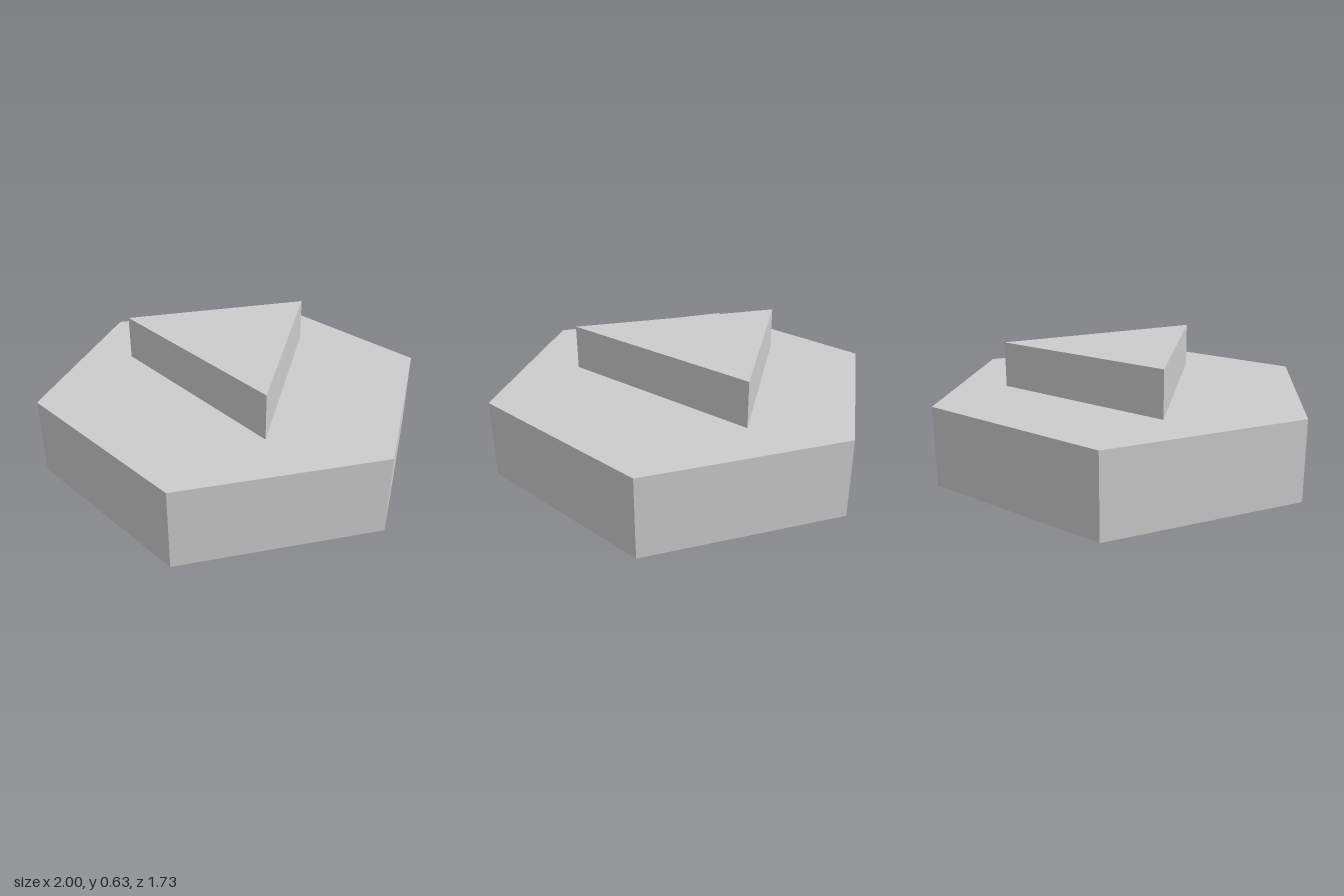
import * as THREE from 'three';

// Upright prism from a plan outline given as [x, z] corners
function prism(name, corners, bottom, height, material) {
  const shape = new THREE.Shape(corners.map(([x, z]) => new THREE.Vector2(x, -z)));
  const geometry = new THREE.ExtrudeGeometry(shape, { depth: height, bevelEnabled: false });
  geometry.rotateX(-Math.PI / 2);
  const mesh = new THREE.Mesh(geometry, material);
  mesh.name = name;
  mesh.position.y = bottom;
  return mesh;
}

export function createModel() {
  const group = new THREE.Group();
  group.name = 'hexagonTileWithArrow';
  const grey = new THREE.MeshStandardMaterial({ color: 0xcccccc });
  grey.name = 'light grey';
  grey.flatShading = true;

  // Hexagonal base with corners on the x axis
  const hexagon = Array.from({ length: 6 }, (_, i) => {
    const a = (i * Math.PI) / 3;
    return [Math.cos(a), Math.sin(a)];
  });
  group.add(prism('hexagonalBase', hexagon, 0, 0.4, grey));

  // Raised triangle pointing to the front
  const triangle = [[-0.488, -0.39], [0.488, -0.39], [0, 0.586]];
  group.add(prism('triangularPointer', triangle, 0.4, 0.23, grey));

  return group;
}
